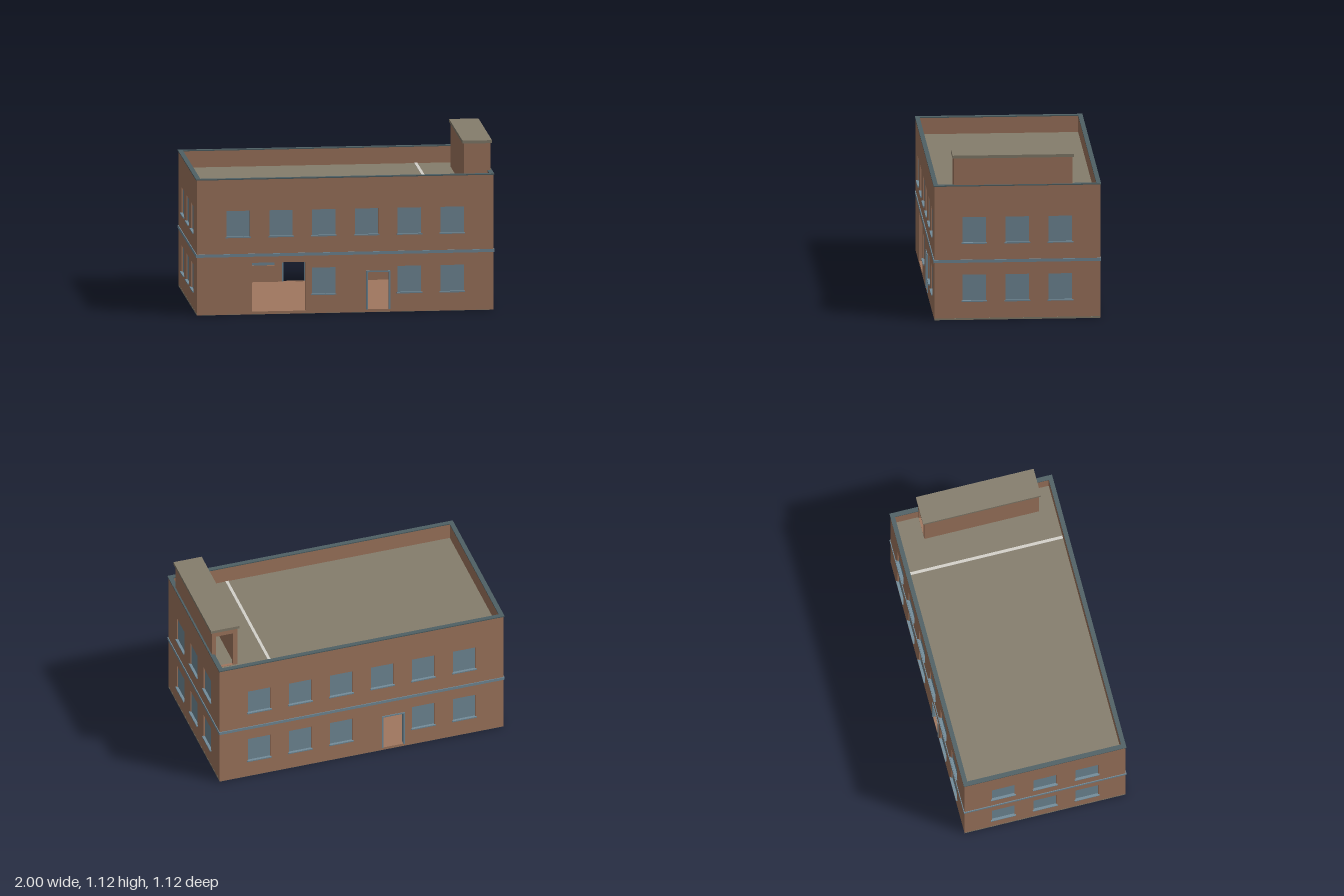
import * as THREE from 'three';

const mat = (name, color) => {
  const m = new THREE.MeshStandardMaterial({ color });
  m.name = name;
  return m;
};

export function createModel() {
  const brick = mat('brick', 0xa0775f);
  const blue = mat('blue glass and trim', 0x728b99);
  const stone = mat('roof stone', 0x857d6c);
  const dark = mat('dark coping', 0x4f6064);
  const pale = mat('pale strip', 0xd4d1ca);

  const model = new THREE.Group();
  model.name = 'building';
  const X = 0.989, Z = 0.551, T = 0.025, TOP = 0.91;

  const add = (parent, name, geometry, material) => {
    const mesh = new THREE.Mesh(geometry, material);
    mesh.name = name;
    parent.add(mesh);
    return mesh;
  };
  // Box given by its low and high limits on each axis
  const box = (parent, name, material, [x0, x1], [y0, y1], [z0, z1]) => {
    const mesh = add(parent, name, new THREE.BoxGeometry(x1 - x0, y1 - y0, z1 - z0), material);
    mesh.position.set((x0 + x1) / 2, (y0 + y1) / 2, (z0 + z1) / 2);
    return mesh;
  };
  const trace = (path, [x0, x1, y0, y1]) => {
    path.moveTo(x0, y0);
    path.lineTo(x1, y0);
    path.lineTo(x1, y1);
    path.lineTo(x0, y1);
    path.closePath();
    return path;
  };
  // Rectangular plate with rectangular holes
  const plate = (outer, holes, depth) => {
    const shape = trace(new THREE.Shape(), outer);
    holes.forEach((h) => shape.holes.push(trace(new THREE.Path(), h)));
    return new THREE.ExtrudeGeometry(shape, { depth, bevelEnabled: false });
  };
  // Horizontal frame running around the building
  const ring = (name, material, ox, oz, ix, iz, y, height) => {
    const g = plate([-ox, ox, -oz, oz], [[-ix, ix, -iz, iz]], height);
    g.rotateX(-Math.PI / 2);
    add(model, name, g, material).position.y = y;
  };

  // Wall in its own frame, outer face at z = 0
  function wall(name, half, y0, upper, lower, openings, place) {
    const g = new THREE.Group();
    g.name = name;
    const rows = [[upper, 0.525, 0.70], [lower, 0.13, 0.308]];
    const holes = openings.map((o) => o.rect);
    for (const [centres, b, t] of rows) {
      for (const c of centres) {
        holes.push([c - 0.078, c + 0.078, b, t]);
        box(g, 'windowPane', blue, [c - 0.078, c + 0.078], [b, t], [-0.016, -0.008]);
        box(g, 'windowSill', blue, [c - 0.085, c + 0.085], [b - 0.006, b + 0.002], [-0.015, 0.01]);
      }
    }
    add(g, name + 'Brick', plate([-half, half, y0, TOP], holes, T), brick).position.z = -T;
    // Door frames
    for (const { rect: [a, b, c, d], framed } of openings) {
      if (!framed) continue;
      box(g, 'doorJamb', blue, [a, a + 0.01], [c, d], [-T, 0.005]);
      box(g, 'doorJamb', blue, [b - 0.01, b], [c, d], [-T, 0.005]);
      box(g, 'doorHead', blue, [a + 0.01, b - 0.01], [d - 0.01, d], [-T, 0.005]);
    }
    place(g);
    model.add(g);
  }

  const six = [-0.714, -0.428, -0.143, 0.143, 0.428, 0.714];
  const three = [-0.286, 0, 0.286];
  const door = { rect: [0.14, 0.30, 0.02, 0.28], framed: true };
  const garage = { rect: [-0.62, -0.265, 0.02, 0.348], framed: false };

  wall('frontWall', X, 0.002, six, [-0.143, 0.428, 0.714], [door, garage], (g) => {
    g.position.z = Z;
  });
  wall('backWall', X, 0.002, six, [-0.714, -0.428, -0.143, 0.428, 0.714], [door], (g) => {
    g.position.z = -Z;
    g.rotation.y = Math.PI;
  });
  for (const s of [1, -1]) {
    wall(s > 0 ? 'leftWall' : 'rightWall', Z - T, 0.012, three, three, [], (g) => {
      g.position.x = s * X;
      g.rotation.y = s * Math.PI / 2;
    });
  }

  // Ground slab, inner floor and flat roof
  box(model, 'groundSlab', stone, [-X - 0.0005, X + 0.0005], [0, 0.012], [-Z + 0.001, Z - 0.001]);
  box(model, 'innerFloor', brick, [-X + T, X - T], [0.012, 0.019], [-Z + T, Z - T]);
  box(model, 'roof', stone, [-X + T, X - T], [0.785, 0.80], [-Z + T, Z - T]);
  box(model, 'roofStrip', pale, [0.58, 0.60], [0.80, 0.803], [-Z + T, Z - T]);

  // String course and parapet coping
  ring('stringCourse', blue, 0.994, 0.556, 0.98, 0.54, 0.39, 0.02);
  ring('coping', dark, 0.994, 0.556, 0.963, 0.526, TOP, 0.007);

  // Rooftop stair house with a doorway in its back end
  const house = new THREE.Group();
  house.name = 'stairHouse';
  model.add(house);
  const y = [0.80, 1.10];
  box(house, 'houseFront', brick, [0.805, 0.982], y, [0.40, 0.42]);
  box(house, 'houseSide', brick, [0.805, 0.825], y, [-0.345, 0.40]);
  box(house, 'houseSide', brick, [0.962, 0.982], y, [-0.345, 0.40]);
  add(house, 'houseBack', plate([0.805, 0.982, ...y], [[0.835, 0.955, 0.802, 1.06]], 0.02), brick)
    .position.z = -0.365;
  box(house, 'houseCap', stone, [0.796, 0.992], [1.10, 1.12], [-0.376, 0.43]);

  return model;
}
